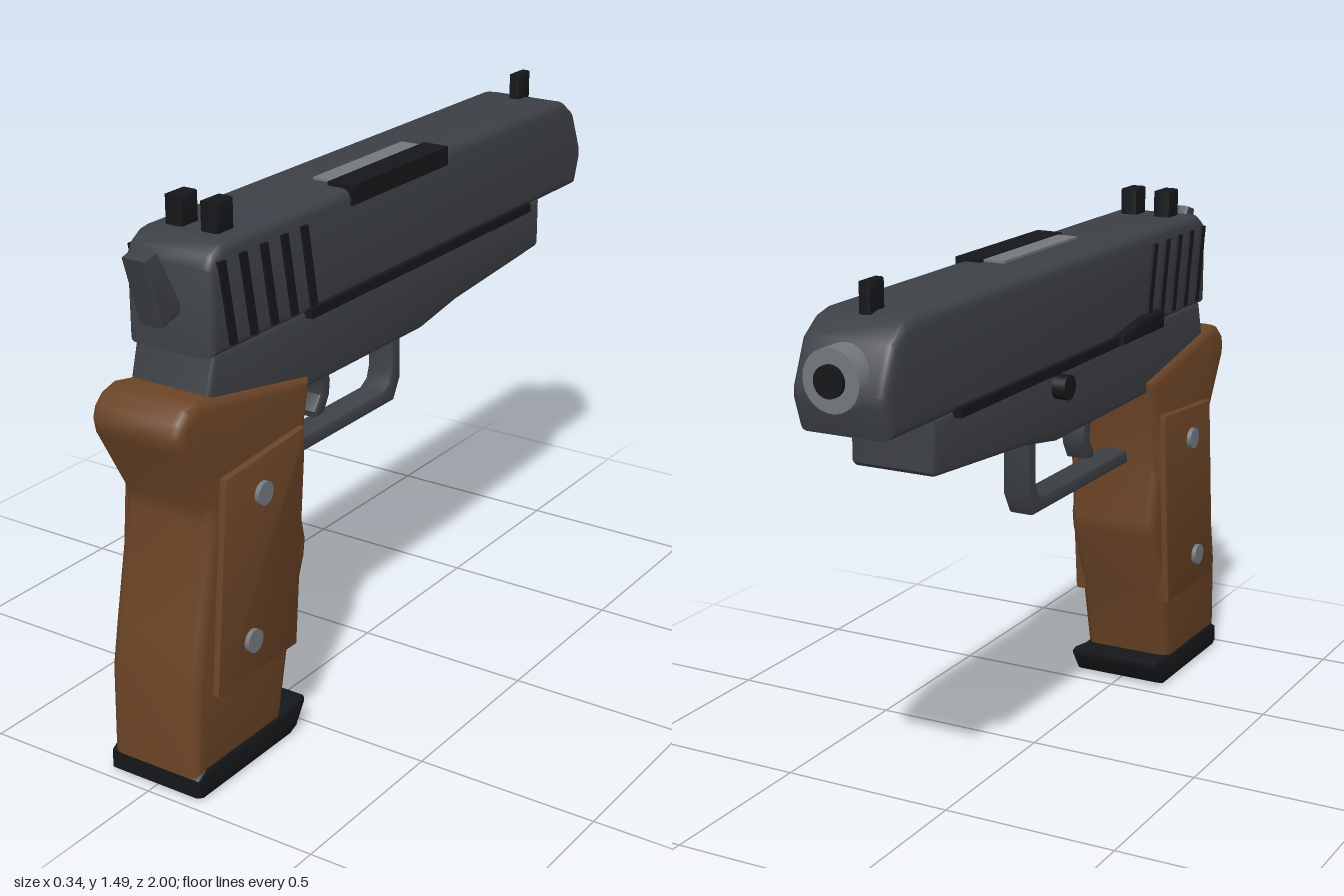
import * as THREE from 'three';
import { toCreasedNormals } from 'three/addons/utils/BufferGeometryUtils.js';

const mat = (color) => new THREE.MeshStandardMaterial({ color });

export function createModel() {
  const group = new THREE.Group();
  const steel = mat(0x3d4046), black = mat(0x15171a), wood = mat(0x6b4426), silver = mat(0x74787e);

  const add = (name, geometry, material, x = 0, y = 0, z = 0) => {
    const mesh = new THREE.Mesh(geometry, material);
    mesh.name = name;
    mesh.position.set(x, y, z);
    group.add(mesh);
    return mesh;
  };

  // side profile of [z, y] points, extruded across x from x0 to x1 with rounded edges
  const plate = (name, points, x0, x1, bevel, material, segments = 3) => {
    const shape = new THREE.Shape(points.map(([z, y]) => new THREE.Vector2(-z, y)));
    const g = new THREE.ExtrudeGeometry(shape, {
      depth: x1 - x0 - 2 * bevel, bevelEnabled: bevel > 0, bevelThickness: bevel,
      bevelSize: bevel, bevelOffset: -bevel, bevelSegments: segments,
    });
    g.rotateY(Math.PI / 2);
    g.translate(x0 + bevel, 0, 0);
    return add(name, toCreasedNormals(g, 0.6), material);
  };
  const block = (name, z0, z1, y0, y1, x0, x1, bevel, material) =>
    plate(name, [[z0, y0], [z1, y0], [z1, y1], [z0, y1]], x0, x1, bevel, material, 2);

  // slide and frame
  plate('slide', [[0.85, 1.14], [0.85, 1.36], [0.835, 1.39], [0.8, 1.412], [0.77, 1.417], [-0.81, 1.417],
    [-0.86, 1.405], [-0.915, 1.365], [-0.965, 1.25], [-0.965, 1.22], [-0.938, 1.14]], -0.13, 0.13, 0.025, steel);
  plate('frame', [[0.83, 1.145], [0.87, 1.0], [0.5, 0.94], [-0.09, 0.935], [-0.27, 0.965], [-0.72, 1.0],
    [-0.73, 1.01], [-0.73, 1.145]], -0.12, 0.12, 0.012, steel);

  // grip with side panels and screws
  plate('grip', [[0.972, 0.05], [0.967, 0.3], [0.945, 0.42], [0.885, 0.72], [0.888, 0.77], [0.99, 0.95],
    [0.997, 0.985], [0.985, 1.02], [0.955, 1.048], [0.91, 1.06], [0.455, 0.975], [0.513, 0.69],
    [0.48, 0.54], [0.487, 0.49], [0.555, 0.31], [0.612, 0.05]], -0.138, 0.138, 0.03, wood);
  for (const s of [-1, 1]) {
    const [x0, x1] = s > 0 ? [0.12, 0.157] : [-0.157, -0.12];
    plate('gripPanel', [[0.847, 0.84], [0.52, 0.865], [0.517, 0.82], [0.565, 0.27], [0.9, 0.27]], x0, x1, 0.008, wood, 2);
    for (const [z, y] of [[0.705, 0.755], [0.76, 0.37]]) {
      const g = new THREE.CylinderGeometry(0.031, 0.031, 0.03, 24).rotateZ(Math.PI / 2);
      add('gripScrew', g, silver, s * 0.155, y, z);
    }
  }
  plate('magazineBase', [[0.972, 0.01], [0.972, 0.06], [0.94, 0.08], [0.6, 0.08], [0.53, 0.09], [0.512, 0.085],
    [0.512, 0.07], [0.55, 0.012], [0.58, 0], [0.95, 0]], -0.142, 0.142, 0.01, black);

  // trigger and guard
  plate('triggerGuard', [[0.52, 0.71], [-0.075, 0.71], [-0.108, 0.77], [-0.108, 0.945], [-0.06, 0.945],
    [-0.06, 0.8], [-0.05, 0.77], [-0.02, 0.752], [0.52, 0.752]], -0.04, 0.04, 0.01, steel);
  plate('trigger', [[0.3, 0.95], [0.25, 0.95], [0.227, 0.87], [0.232, 0.83], [0.258, 0.785], [0.295, 0.782],
    [0.3, 0.8], [0.273, 0.84], [0.276, 0.875], [0.302, 0.92]], -0.035, 0.035, 0.008, steel);

  // hammer and sights
  plate('hammer', [[0.972, 1.4], [0.925, 1.414], [0.845, 1.27], [0.835, 1.24], [0.915, 1.22]],
    -0.036, 0.036, 0.008, steel);
  for (const x of [-0.053, 0.053])
    block('rearSight', 0.755, 0.687, 1.4, 1.493, x - 0.026, x + 0.026, 0.008, black);
  block('frontSight', -0.772, -0.84, 1.4, 1.49, -0.017, 0.017, 0.008, black);

  // grooves and rails on both sides
  for (const s of [-1, 1]) {
    const [x0, x1] = s > 0 ? [0.12, 0.137] : [-0.137, -0.12];
    for (let i = 0; i < 5; i++) {
      const z = 0.825 - i * 0.083;
      plate('slideGroove', [[z, 1.377], [z - 0.026, 1.377], [z - 0.066, 1.16], [z - 0.04, 1.16]], x0, x1, 0, black);
    }
    block('slideRail', 0.46, -0.638, 1.13, 1.156, s > 0 ? 0.11 : -0.142, s > 0 ? 0.142 : -0.11, 0, black);
  }

  // ejection port
  block('ejectionPort', 0.273, -0.185, 1.375, 1.427, 0.06, 0.136, 0, black);
  block('chamber', 0.25, -0.168, 1.39, 1.424, 0, 0.07, 0, silver);

  // controls on the -x side
  plate('slideStop', [[0.5, 1.185], [0.5, 1.135], [0.23, 1.135], [0.23, 1.16], [0.38, 1.185]],
    -0.157, -0.11, 0.005, black);
  add('takedownPin', new THREE.CylinderGeometry(0.034, 0.034, 0.06, 24).rotateZ(Math.PI / 2), black, -0.128, 1.088, -0.095);

  // barrel and bore
  add('barrel', new THREE.CylinderGeometry(0.078, 0.078, 0.2, 32).rotateX(Math.PI / 2), silver, 0, 1.283, -0.887);
  add('bore', new THREE.CylinderGeometry(0.04, 0.04, 0.1, 32).rotateX(Math.PI / 2), black, 0, 1.283, -0.95);

  return group;
}
